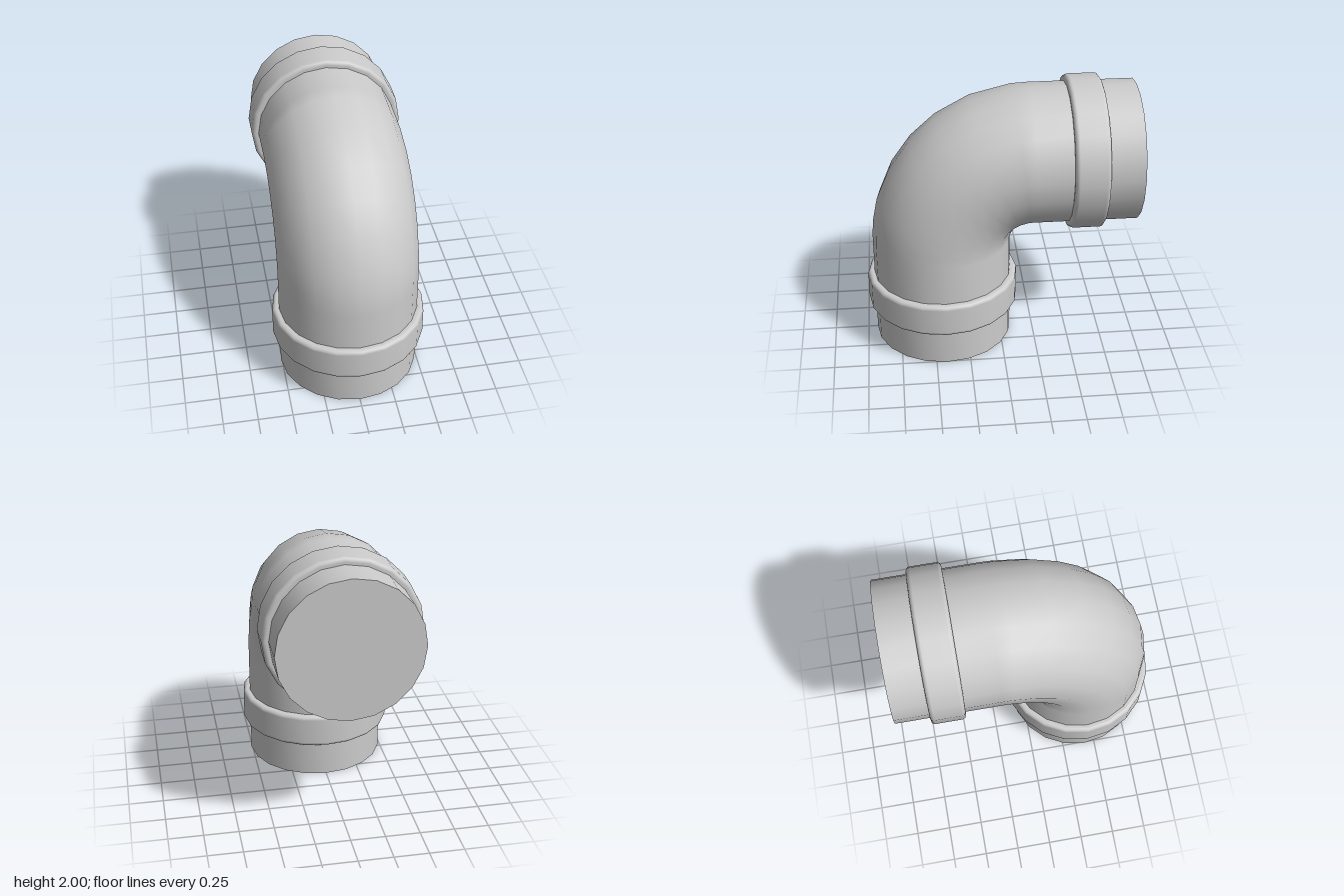
import * as THREE from 'three';

const SIDES = 20;
const R = 0.508;              // pipe radius
const COLLAR_R = 0.557;
const LEG_Z = 0.422;          // axis of the upright leg
const ARM_Y = 1.443;          // axis of the horizontal arm
const END_Z = -0.977;
const BEND = 0.642;           // bend radius along the axis
const PIVOT = { z: LEG_Z - BEND, y: ARM_Y - BEND };

// Pipe: rings swept up the leg, round the bend and along the arm
function pipeGeometry() {
  const rings = [{ y: 0, z: LEG_Z, t: 0 }];
  for (const deg of [0, 6.5, 16, 29, 41.5, 54, 68.3, 84, 90]) {
    const t = THREE.MathUtils.degToRad(deg);
    rings.push({ y: PIVOT.y + BEND * Math.sin(t), z: PIVOT.z + BEND * Math.cos(t), t });
  }
  rings.push({ y: ARM_Y, z: END_Z, t: Math.PI / 2 });

  const positions = [], index = [];
  rings.forEach(({ y, z, t }, i) => {
    for (let j = 0; j < SIDES; j++) {
      const a = (j / SIDES) * Math.PI * 2;
      const out = R * Math.cos(a);
      positions.push(R * Math.sin(a), y + out * Math.sin(t), z + out * Math.cos(t));
      if (i === rings.length - 1) continue;
      const p = i * SIDES + j, q = i * SIDES + ((j + 1) % SIDES);
      index.push(p, q, p + SIDES, q, q + SIDES, p + SIDES);
    }
  });
  const geo = new THREE.BufferGeometry();
  geo.setAttribute('position', new THREE.Float32BufferAttribute(positions, 3));
  geo.setIndex(index);
  geo.computeVertexNormals();
  return geo;
}

// Collar: a band with rounded rims, centred on its own height
function collarGeometry() {
  const half = 0.124, bevel = 0.03, pts = [new THREE.Vector2(R - 0.02, -half)];
  for (const s of [-1, 1]) {
    for (let k = 0; k <= 4; k++) {
      const a = ((s < 0 ? 4 - k : k) / 4) * Math.PI / 2;
      pts.push(new THREE.Vector2(
        COLLAR_R - bevel + bevel * Math.cos(a),
        s * (half - bevel + bevel * Math.sin(a))));
    }
  }
  pts.push(new THREE.Vector2(R - 0.02, half));
  return new THREE.LatheGeometry(pts, SIDES);
}

export function createModel() {
  const group = new THREE.Group();
  const material = new THREE.MeshStandardMaterial({ color: 0xcccccc });
  const add = (name, geometry, y, z, rx = 0, ry = 0) => {
    const mesh = new THREE.Mesh(geometry, material);
    mesh.name = name;
    mesh.position.set(0, y, z);
    mesh.rotation.set(rx, ry, 0);
    group.add(mesh);
  };

  add('elbowPipe', pipeGeometry(), 0, 0);

  // Closed pipe ends
  const cap = new THREE.CircleGeometry(R, SIDES);
  add('bottomCap', cap, 0, LEG_Z, Math.PI / 2);
  add('backCap', cap, ARM_Y, END_Z, 0, Math.PI);

  // Collars on the leg and the arm
  const collar = collarGeometry();
  add('lowerCollar', collar, 0.387, LEG_Z);
  add('backCollar', collar, ARM_Y, -0.605, -Math.PI / 2);

  return group;
}
